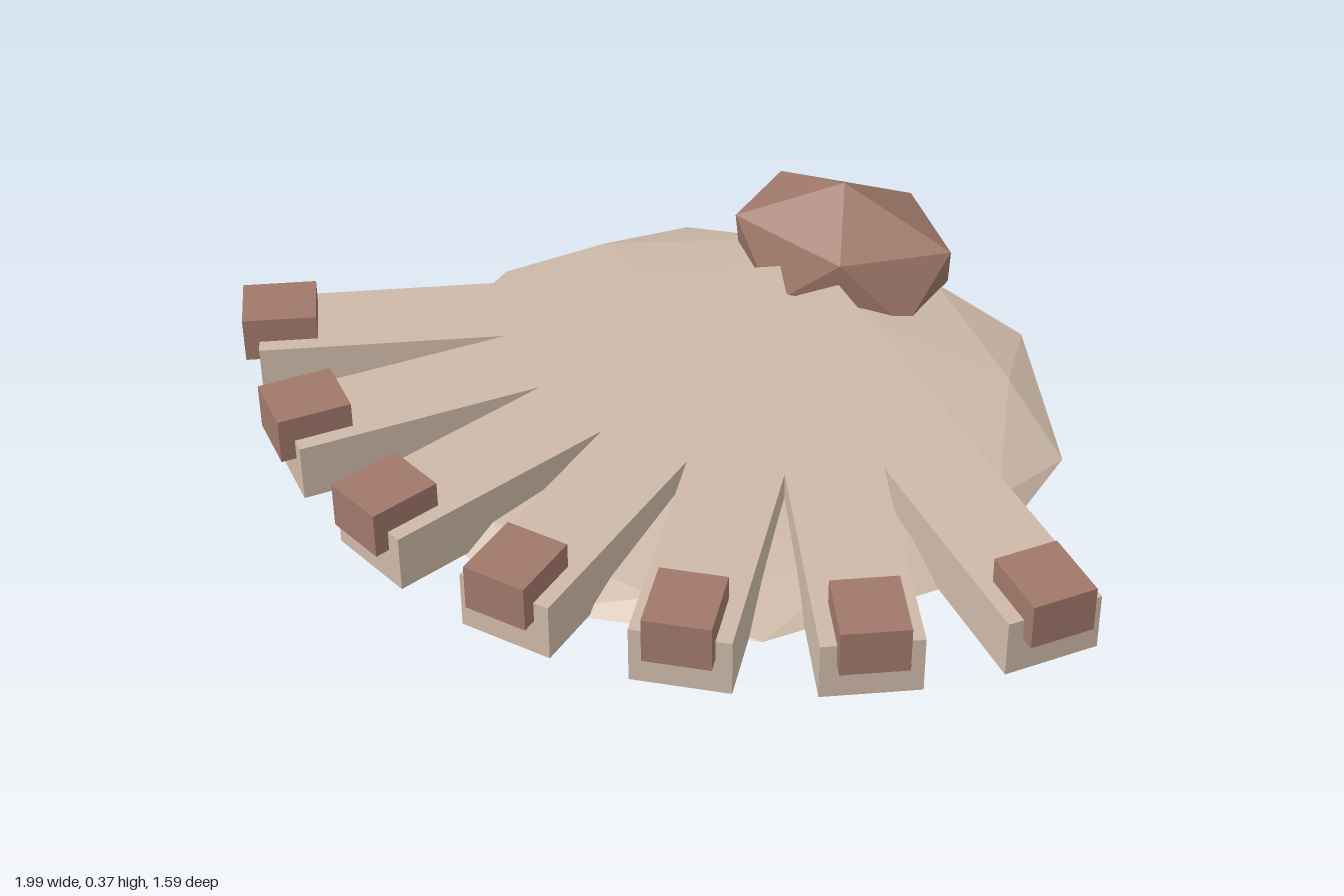
import * as THREE from 'three';

const shellTan = new THREE.MeshStandardMaterial({ name: 'shell tan', color: 0xcdb9a8 });
const hingeBrown = new THREE.MeshStandardMaterial({ name: 'hinge brown', color: 0xa0786a });

// Faceted ellipsoid with a vertex at each pole and one upper vertex toward +x
function facetedEllipsoid(detail, rx, ry, rz) {
  const geometry = new THREE.IcosahedronGeometry(1, detail).toNonIndexed?.() ?? null;
  geometry.rotateZ(-Math.atan(2 / (1 + Math.sqrt(5))));
  geometry.scale(rx, ry, rz);
  geometry.computeVertexNormals();
  return geometry;
}

function addPart(parent, name, geometry, material, x, y, z) {
  const mesh = new THREE.Mesh(geometry, material);
  mesh.name = name;
  mesh.position.set(x, y, z);
  parent.add(mesh);
  return mesh;
}

export function createModel() {
  const model = new THREE.Group();
  model.name = 'scallopShell';

  // Flat, faceted lower shell
  addPart(model, 'shellBody', facetedEllipsoid(1, 0.725, 0.09, 0.725), shellTan, 0, 0.092, -0.075);

  // Knob at the back of the shell
  addPart(model, 'hinge', facetedEllipsoid(0, 0.296, 0.172, 0.199), hingeBrown, 0, 0.203, -0.618);

  // Seven ribs fanned out from the hinge, each with a block at its end
  const ribGeometry = new THREE.BoxGeometry(0.2, 0.125, 1.133);
  const tipGeometry = new THREE.BoxGeometry(0.135, 0.1, 0.155);
  for (let i = -3; i <= 3; i++) {
    const rib = new THREE.Group();
    rib.name = 'rib' + (i + 4);
    rib.position.z = -0.392;
    rib.rotation.y = i * Math.PI / 10;
    addPart(rib, 'ribBar', ribGeometry, shellTan, 0, 0.1585, 0.5835);
    addPart(rib, 'ribTip', tipGeometry, hingeBrown, 0, 0.226, 1.104);
    model.add(rib);
  }
  return model;
}
